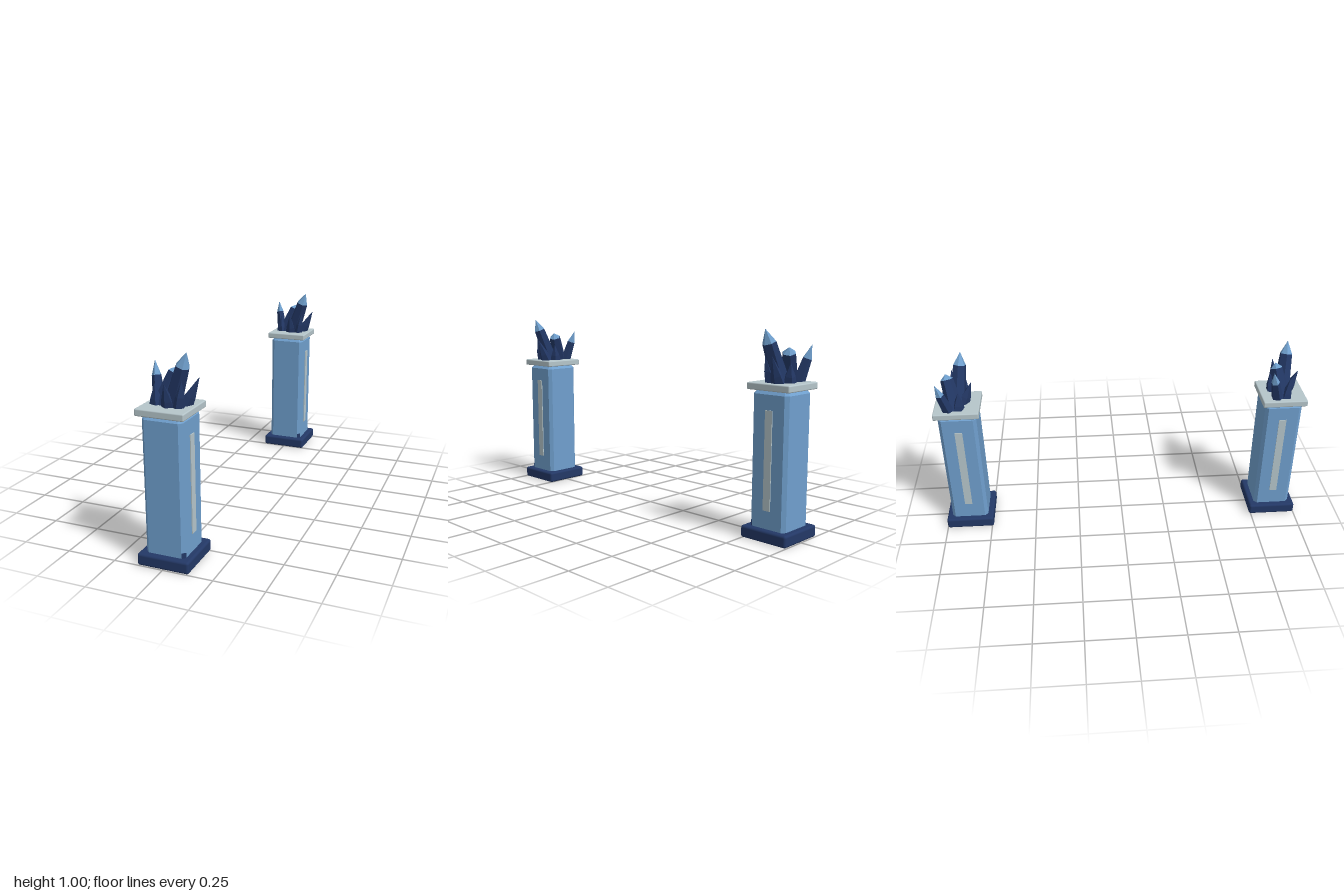
import * as THREE from 'three';
import { RoundedBoxGeometry } from 'three/addons/geometries/RoundedBoxGeometry.js';

const mat = (name, color) => {
  const m = new THREE.MeshStandardMaterial({ color });
  m.name = name;
  return m;
};
const UP = new THREE.Vector3(0, 1, 0);

export function createModel() {
  const blue = mat('steelBlue', 0x6f9fcd);
  const navy = mat('navy', 0x233866);
  const stone = mat('paleStone', 0xb5c5ca);

  const add = (parent, name, geo, material, x = 0, y = 0, z = 0) => {
    const mesh = new THREE.Mesh(geo, material);
    mesh.name = name;
    mesh.position.set(x, y, z);
    parent.add(mesh);
    return mesh;
  };

  // Shaft: square with chamfered corners, bevelled inwards under the cap
  const w = 0.1, c = 0.083;
  const outline = new THREE.Shape(
    [[w, -c], [w, c], [c, w], [-c, w], [-w, c], [-w, -c], [-c, -w], [c, -w]]
      .map(([x, y]) => new THREE.Vector2(x, y)));
  const shaftGeo = new THREE.ExtrudeGeometry(outline, {
    depth: 0.645, bevelEnabled: true, bevelThickness: 0.022,
    bevelSize: 0.02, bevelOffset: -0.02, bevelSegments: 1,
  });
  shaftGeo.rotateX(-Math.PI / 2);

  // Crystal: tapered faceted column with a pointed end, leaning from base to tip
  function crystal(parent, { base, tip, r, sides = 6, point = 0.25, spin = 0, tipColor = navy }) {
    const a = new THREE.Vector3(...base), b = new THREE.Vector3(...tip);
    const dir = b.clone().sub(a), len = dir.length();
    const body = len * (1 - point), cone = len * point;
    const g = new THREE.Group();
    g.name = 'crystal';
    const column = new THREE.CylinderGeometry(r * 0.72, r, body, sides, 1, false, spin).toNonIndexed();
    const end = new THREE.ConeGeometry(r * 0.72, cone, sides, 1, false, spin).toNonIndexed();
    column.computeVertexNormals();
    end.computeVertexNormals();
    add(g, 'crystalColumn', column, navy, 0, body / 2);
    add(g, 'crystalPoint', end, tipColor, 0, body + cone / 2);
    g.position.copy(a);
    g.quaternion.setFromUnitVectors(UP, dir.normalize());
    parent.add(g);
  }

  const crystals = [
    // tall leaning crystal
    { base: [0.005, 0.735, 0.0], tip: [0.1, 1.005, 0.033], r: 0.047, point: 0.24, spin: 0.4, tipColor: blue },
    // middle crystal
    { base: [-0.05, 0.735, -0.005], tip: [0.018, 0.92, -0.045], r: 0.046, point: 0.14, spin: 0.2, tipColor: blue },
    // left rear crystal
    { base: [-0.07, 0.735, -0.035], tip: [-0.114, 0.928, -0.083], r: 0.032, point: 0.34, sides: 5, tipColor: blue },
    // right crystal
    { base: [0.055, 0.735, -0.02], tip: [0.13, 0.885, -0.03], r: 0.037, point: 0.6, sides: 5, spin: 0.5 },
    // front crystal
    { base: [0.005, 0.735, 0.025], tip: [0.012, 0.87, 0.083], r: 0.036, point: 0.6, sides: 5 },
    // small fillers
    { base: [-0.06, 0.735, 0.01], tip: [-0.065, 0.85, 0.02], r: 0.038, point: 0.6, sides: 5, spin: 0.3 },
    { base: [0.05, 0.735, 0.025], tip: [0.078, 0.88, 0.045], r: 0.034, point: 0.5, sides: 5 },
    { base: [0.01, 0.735, -0.045], tip: [0.03, 0.85, -0.065], r: 0.036, point: 0.55, sides: 5 },
  ];

  function pillar() {
    const g = new THREE.Group();
    g.name = 'pillar';
    add(g, 'base', new RoundedBoxGeometry(0.26, 0.06, 0.26, 3, 0.012), navy, 0, 0.03);
    add(g, 'shaft', shaftGeo, blue, 0, 0.058);
    add(g, 'cap', new RoundedBoxGeometry(0.238, 0.034, 0.238, 2, 0.006), stone, 0, 0.738);
    // Inlaid strips on the two sides
    for (const s of [-1, 1])
      add(g, 'sideStrip', new THREE.BoxGeometry(0.009, 0.48, 0.04), stone, s * 0.1, 0.39);
    // Dark chip at the foot of one chamfered corner
    add(g, 'cornerChip', new THREE.BoxGeometry(0.023, 0.027, 0.003), navy, 0.0917, 0.0725, 0.0917)
      .rotation.y = Math.PI / 4;
    const cluster = new THREE.Group();
    cluster.name = 'crystalCluster';
    crystals.forEach((k) => crystal(cluster, k));
    g.add(cluster);
    return g;
  }

  const model = new THREE.Group();
  model.name = 'pillarPair';
  for (const z of [0.87, -0.87]) {
    const p = pillar();
    p.position.z = z;
    model.add(p);
  }
  return model;
}
